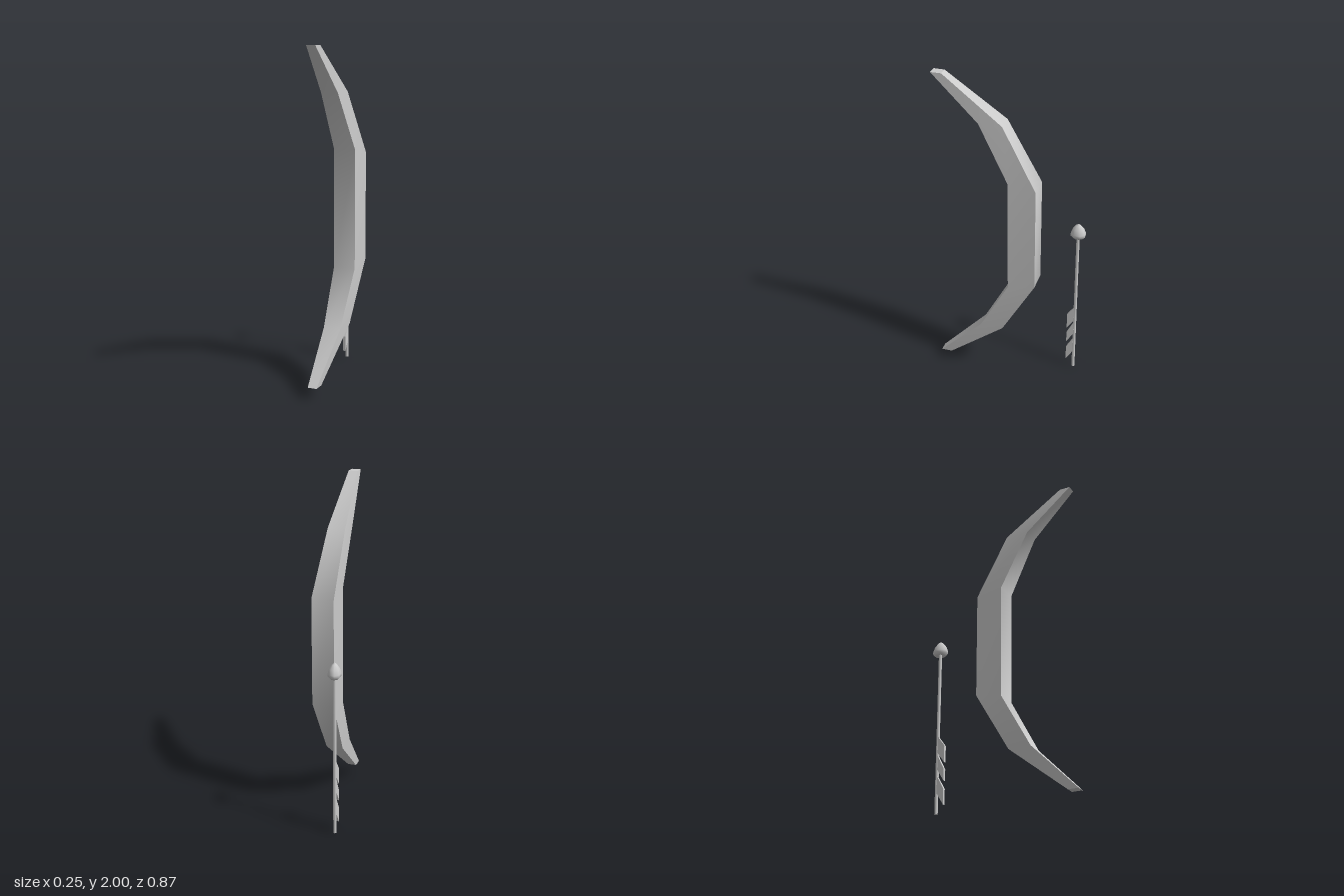
import * as THREE from 'three';

const grey = new THREE.MeshStandardMaterial({ color: 0xcccccc });

function part(name, geometry, parent) {
  const mesh = new THREE.Mesh(geometry, grey);
  mesh.name = name;
  parent.add(mesh);
  return mesh;
}

// Bow stations from bottom to top: [xLeft, xRight, yFront, zFront, yBack, zBack]
const stations = [
  [0.025, 0.08, 0.07, 0.435, 0.07, 0.37],
  [0.0, 0.105, 0.35, 0.16, 0.35, 0.02],
  [-0.015, 0.12, 0.68, -0.02, 0.71, -0.185],
  [-0.015, 0.12, 1.39, -0.02, 1.36, -0.185],
  [-0.015, 0.09, 1.73, 0.16, 1.73, 0.02],
  [0.025, 0.08, 2.0, 0.435, 2.0, 0.37],
];

// Four long faces, each smooth along its length with sharp edges between them
function bowGeometry() {
  const rings = stations.map(([l, r, yf, zf, yb, zb]) => [[l, yf, zf], [r, yf, zf], [r, yb, zb], [l, yb, zb]]);
  const positions = [], index = [];
  for (let side = 0; side < 4; side++) {
    const start = positions.length / 3;
    rings.forEach((ring, i) => {
      positions.push(...ring[side], ...ring[(side + 1) % 4]);
      const a = start + i * 2;
      if (i < rings.length - 1) index.push(a, a + 1, a + 3, a, a + 3, a + 2);
    });
  }
  // Tip caps
  for (const ring of [rings[0].slice().reverse(), rings[rings.length - 1]]) {
    const a = positions.length / 3;
    positions.push(...ring.flat());
    index.push(a, a + 1, a + 2, a, a + 2, a + 3);
  }
  const geometry = new THREE.BufferGeometry();
  geometry.setAttribute('position', new THREE.Float32BufferAttribute(positions, 3));
  geometry.setIndex(index);
  geometry.computeVertexNormals();
  return geometry;
}

function createArrow() {
  const arrow = new THREE.Group();
  arrow.name = 'arrow';

  part('arrowShaft', new THREE.CylinderGeometry(0.01, 0.01, 0.99, 8), arrow).position.y = 0.495;

  // Eight-sided head, deeper than it is wide
  const profile = [[0, 0.99], [0.012, 0.985], [0.024, 0.975], [0.034, 0.988], [0.035, 1.005], [0.027, 1.035], [0.013, 1.058], [0, 1.07]]
    .map(([r, y]) => new THREE.Vector2(r / Math.cos(Math.PI / 8), y));
  const head = new THREE.LatheGeometry(profile, 8, Math.PI / 8);
  part('arrowHead', head, arrow).scale.z = 1.25;

  // Three slanted feathers on the front of the shaft: [inner top, inner bottom, outer bottom, outer top]
  const feathers = [[0.46, 0.36, 0.30, 0.40], [0.345, 0.26, 0.19, 0.26], [0.22, 0.12, 0.05, 0.145]];
  const thickness = 0.018;
  for (const [it, ib, ob, ot] of feathers) {
    const shape = new THREE.Shape([[0.005, it], [0.005, ib], [0.048, ob], [0.048, ot]]
      .map(([x, y]) => new THREE.Vector2(x, y)));
    const geometry = new THREE.ExtrudeGeometry(shape, { depth: thickness, bevelEnabled: false });
    geometry.translate(0, 0, -thickness / 2).rotateY(-Math.PI / 2);
    part('feather', geometry, arrow);
  }

  arrow.position.set(-0.09, 0, -0.392);
  return arrow;
}

export function createModel() {
  const model = new THREE.Group();
  model.name = 'bowAndArrow';
  part('bow', bowGeometry(), model);
  model.add(createArrow());
  return model;
}
